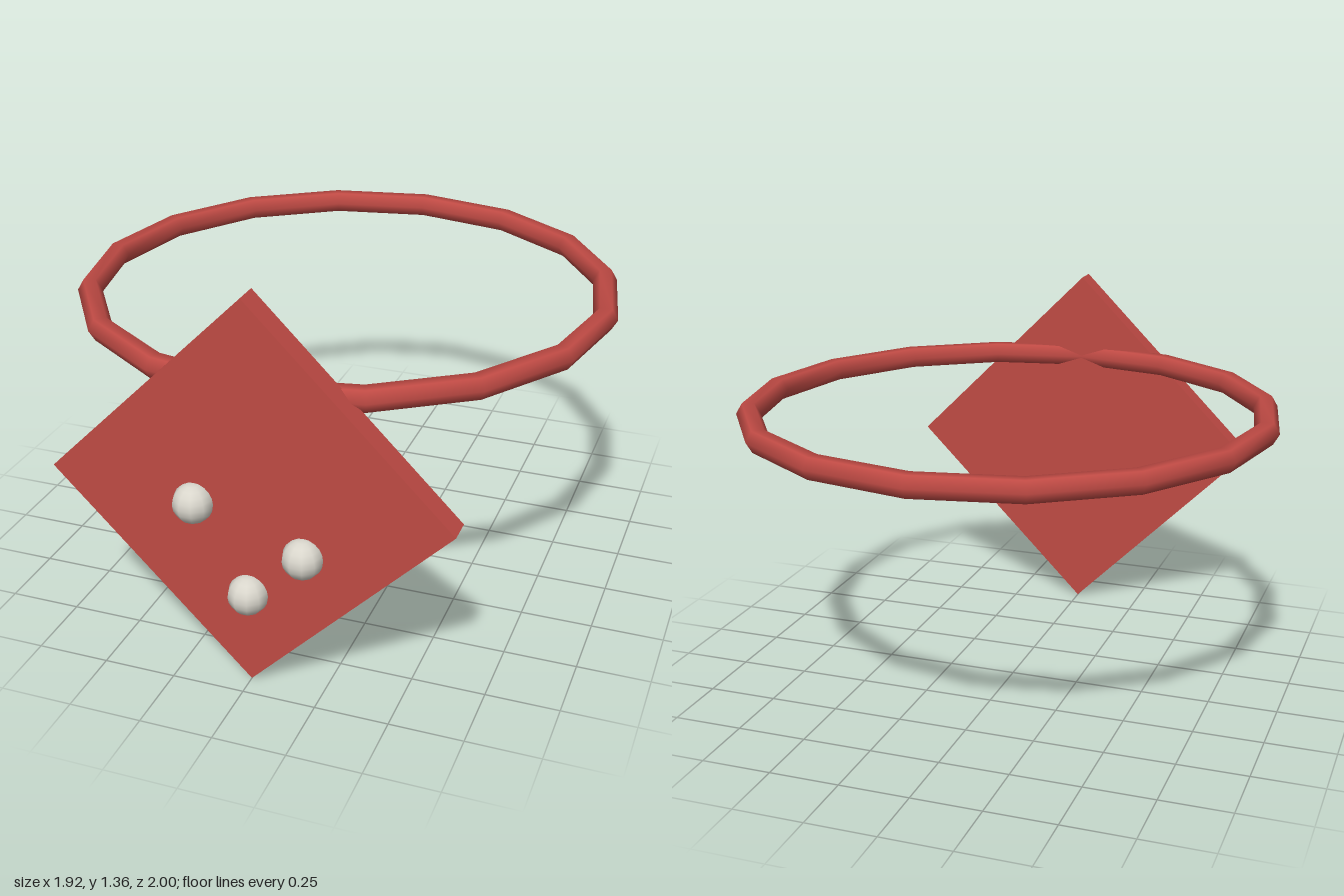
import * as THREE from 'three';

export function createModel() {
  const model = new THREE.Group();
  const red = new THREE.MeshStandardMaterial({ color: 0xbf4a44 });
  red.name = 'red';
  const pearl = new THREE.MeshStandardMaterial({ color: 0xd9d6cc });
  pearl.name = 'pearl white';

  const add = (name, geometry, material, x, y, z) => {
    const mesh = new THREE.Mesh(geometry, material);
    mesh.name = name;
    mesh.position.set(x, y, z);
    model.add(mesh);
    return mesh;
  };

  // Ring: low-poly band lying flat, its front sunk into the plate
  const band = add('band', new THREE.TorusGeometry(0.917, 0.043, 6, 16), red, 0, 1.037, -0.04);
  band.rotation.x = Math.PI / 2;

  // Square plate standing on one corner
  const plate = add('plate', new THREE.BoxGeometry(0.962, 0.962, 0.087), red, 0, 0.68, 0.88);
  plate.rotation.z = Math.PI / 4;

  // Beads half sunk into the plate's front
  const bead = new THREE.SphereGeometry(0.068, 10, 10);
  [[-0.18, 0.64], [0.19, 0.51], [0, 0.335]].forEach(([x, y], i) => {
    add('bead' + (i + 1), bead, pearl, x, y, 0.932);
  });

  return model;
}
